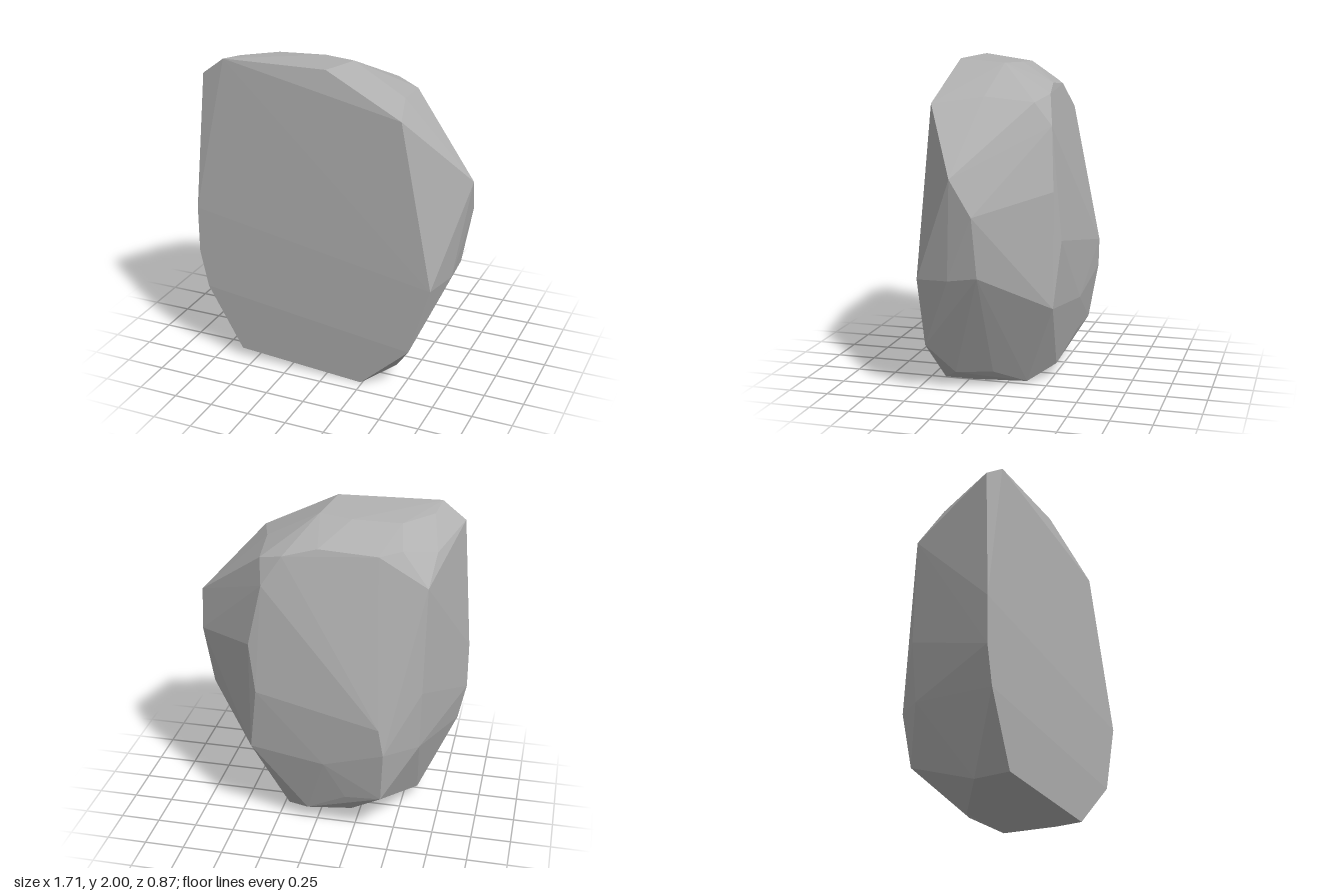
import * as THREE from 'three';
import { ConvexGeometry } from 'three/addons/geometries/ConvexGeometry.js';

// Corners of the cut boulder, grouped by side: [x, y, z]
const frontRim = [
  [-0.80, 1.89, 0.38], [-0.65, 2.0, 0.40], [0, 2.0, 0.37], [0.48, 1.76, 0.40],
  [0.69, 0.74, 0.43], [0.56, 0.30, 0.43], [0.24, 0, 0.41], [-0.59, 0.06, 0.41],
  [-0.81, 0.48, 0.43], [-0.86, 0.72, 0.43], [-0.86, 1.02, 0.43],
];
const crown = [
  [0.05, 1.98, 0.07], [-0.16, 1.975, 0.01], [-0.46, 1.965, 0.03], [-0.63, 1.975, 0.22],
  [0.39, 1.80, 0.10], [0.36, 1.77, -0.20], [0.21, 1.81, -0.26], [0, 1.86, -0.225],
  [-0.36, 1.83, -0.20], [-0.49, 1.85, -0.13], [-0.68, 1.81, 0],
];
const leftSide = [
  [0.85, 1.37, 0.17], [0.82, 1.15, 0.05], [0.75, 0.755, 0.22], [0.75, 0.78, 0.04],
];
const back = [
  [0.33, 1.63, -0.30], [0.41, 1.25, -0.33], [0.36, 0.95, -0.37], [0.41, 0.54, -0.33],
  [-0.07, 0.50, -0.39], [-0.42, 0.81, -0.44], [-0.45, 0.63, -0.43], [-0.43, 0.28, -0.37],
  [-0.20, 0.25, -0.345], [-0.66, 1.66, -0.21], [-0.65, 0.98, -0.23], [-0.64, 0.59, -0.20],
];
const base = [
  [0.43, 0.10, 0.28], [0.36, 0.10, 0.06], [0.27, 0.01, 0.22], [0.22, 0.01, -0.12],
  [0.06, 0.09, -0.27], [-0.20, 0.02, -0.12], [-0.59, 0.06, 0.18],
];

export function createModel() {
  const stone = new THREE.MeshStandardMaterial({ color: 0xb0b0b0, flatShading: true });
  stone.name = 'grey stone';

  // Faceted boulder wrapped around its corners
  const corners = [...frontRim, ...crown, ...leftSide, ...back, ...base];
  const geometry = new ConvexGeometry(corners.map((p) => new THREE.Vector3(...p)));
  const boulder = new THREE.Mesh(geometry, stone);
  boulder.name = 'boulder';

  const group = new THREE.Group();
  group.name = 'rock';
  group.add(boulder);
  return group;
}
